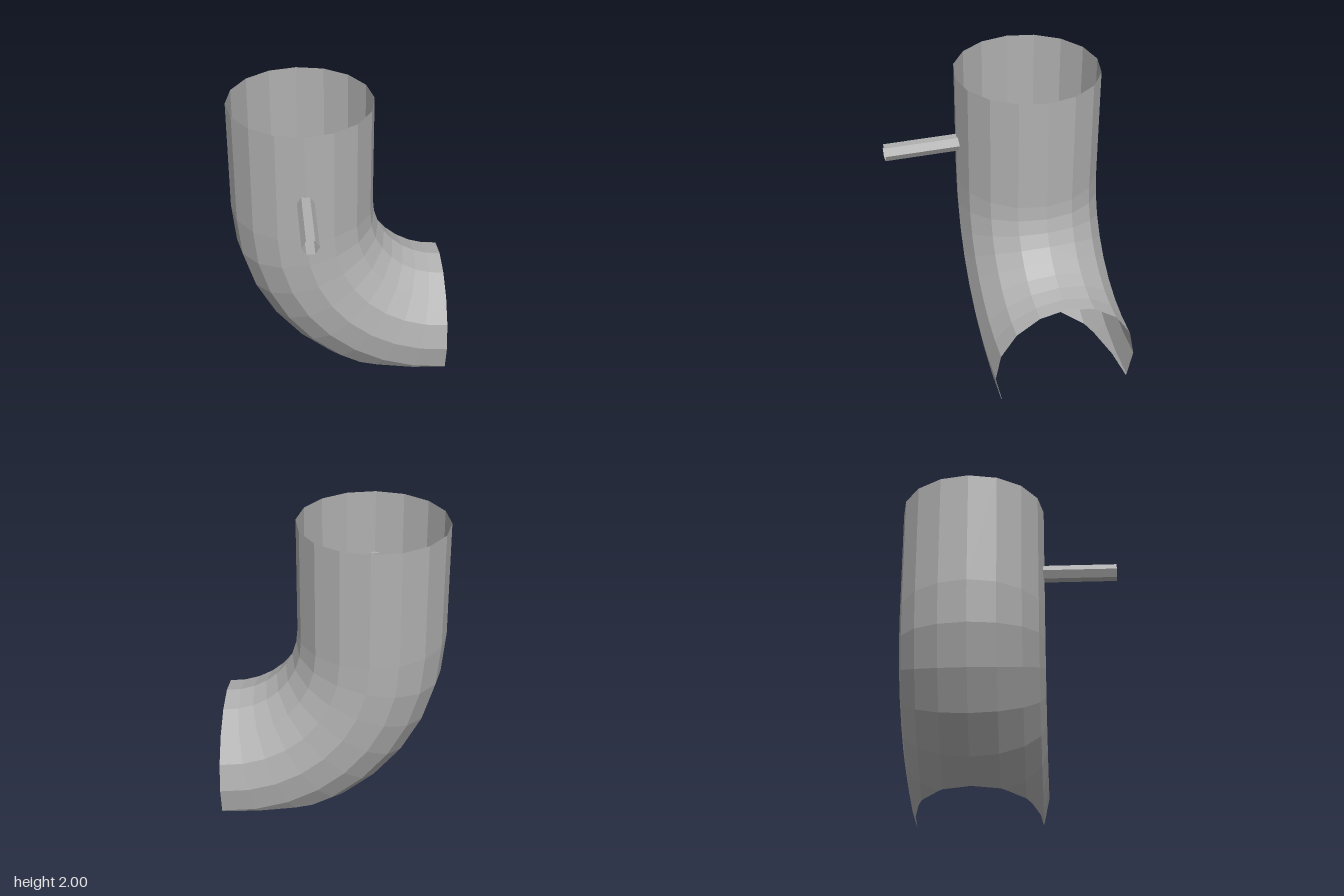
import * as THREE from 'three';

const SIDES = 16, BENDS = 8, R = 0.5, CX = -0.25, CZ = -0.25;

// Point on the quarter bend: a runs along the bend, b around the pipe
function bendPoint(i, j) {
  const a = (i / BENDS) * Math.PI / 2, b = (j / SIDES) * Math.PI * 2;
  const r = 1 + R * Math.cos(b);
  return new THREE.Vector3(0.75 - r * Math.cos(a), 1.2 - r * Math.sin(a), CZ + R * Math.sin(b));
}

// Keep only the part of a polygon above y = 0
function clipAtGround(poly) {
  const out = [];
  poly.forEach((p, k) => {
    const q = poly[(k + 1) % poly.length];
    if (p.y >= 0) out.push(p);
    if ((p.y >= 0) !== (q.y >= 0)) out.push(p.clone().lerp(q, p.y / (p.y - q.y)));
  });
  return out;
}

function elbowGeometry() {
  const pos = [];
  for (let i = 0; i < BENDS; i++) {
    for (let j = 0; j < SIDES; j++) {
      const poly = clipAtGround([
        bendPoint(i, j), bendPoint(i + 1, j), bendPoint(i + 1, j + 1), bendPoint(i, j + 1),
      ]);
      for (let k = 1; k + 1 < poly.length; k++) {
        for (const p of [poly[0], poly[k], poly[k + 1]]) pos.push(p.x, p.y, p.z);
      }
    }
  }
  const g = new THREE.BufferGeometry();
  g.setAttribute('position', new THREE.Float32BufferAttribute(pos, 3));
  g.computeVertexNormals();
  return g;
}

export function createModel() {
  const model = new THREE.Group();
  model.name = 'pipeElbow';
  const grey = new THREE.MeshStandardMaterial({ color: 0xb0b0b0, flatShading: true, side: THREE.DoubleSide });
  grey.name = 'grey';

  const add = (name, geometry) => {
    const mesh = new THREE.Mesh(geometry, grey);
    mesh.name = name;
    model.add(mesh);
    return mesh;
  };

  // Upright open pipe
  add('straightPipe', new THREE.CylinderGeometry(R, R, 0.8, SIDES, 1, true)).position.set(CX, 1.6, CZ);

  // Quarter bend, cut off flat at the ground
  add('elbow', elbowGeometry());

  // Thin open hexagonal tube sticking out at the front
  const start = 0.23, end = 0.75;
  const tube = new THREE.CylinderGeometry(0.058, 0.058, end - start, 6, 1, true);
  tube.rotateY(Math.PI / 6).rotateX(Math.PI / 2);
  add('sideTube', tube).position.set(CX, 1.5, (start + end) / 2);

  return model;
}
